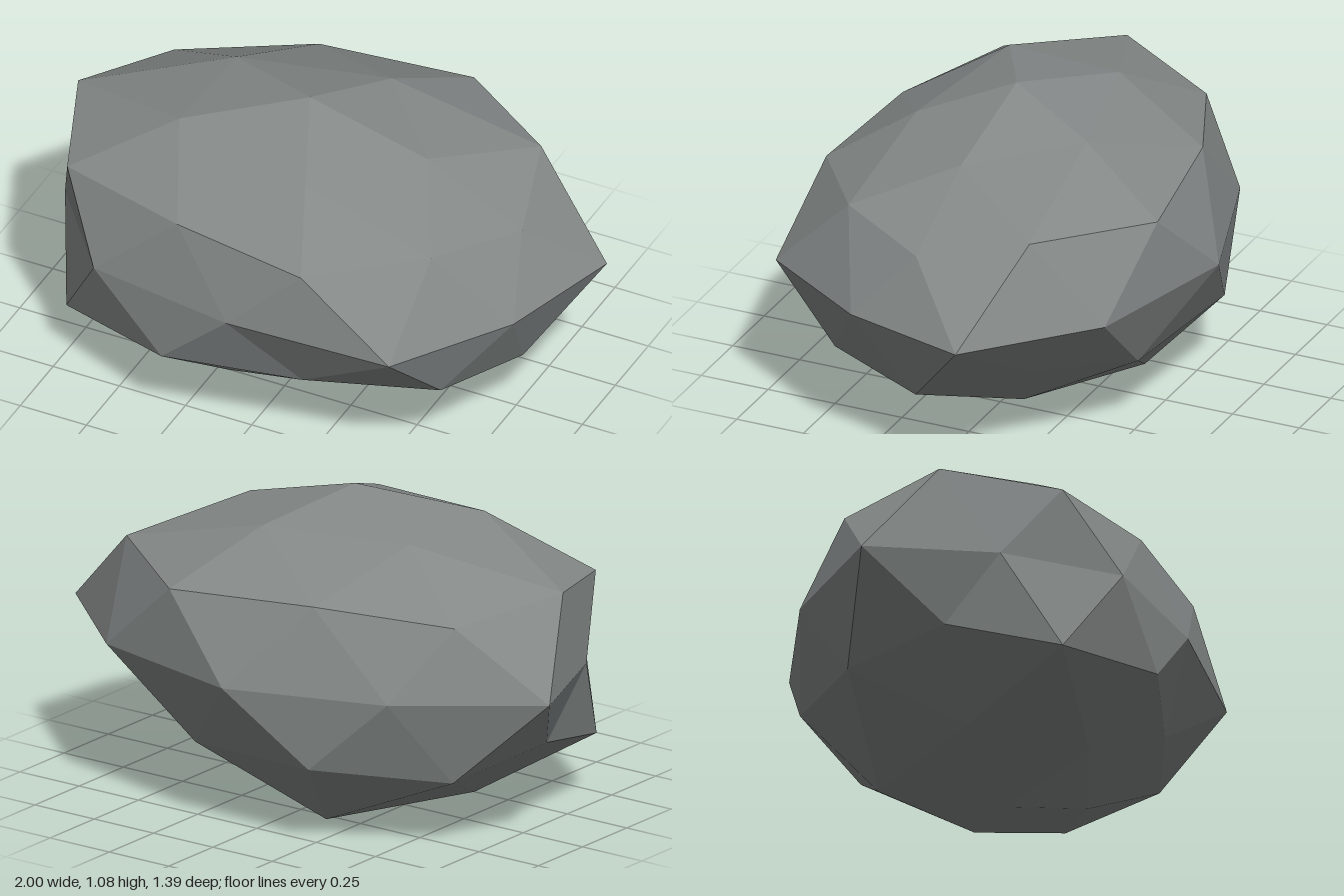
import * as THREE from 'three';

// Ring of points: [height, spread] of the unit direction alternates around the ring
function addRing(points, radii, startDeg, bands) {
  const first = points.length;
  radii.forEach((r, i) => {
    const height = bands[i % bands.length];
    const spread = Math.sqrt(1 - height * height);
    const a = THREE.MathUtils.degToRad(startDeg + (360 / radii.length) * i);
    points.push(new THREE.Vector3(spread * Math.cos(a), height, spread * Math.sin(a)).multiplyScalar(r));
  });
  const n = radii.length;
  return (i) => first + ((i % n) + n) % n;
}

function rockGeometry() {
  const points = [];
  const S = 0.4472, M = 0.5257, P = 0.8507;

  // Uneven distances from the centre, ring by ring from top to bottom
  const top = addRing(points, [0.913], 0, [1]);
  const capU = addRing(points, [0.84, 0.84, 0.915, 0.893, 0.89], 0, [P]);
  const ringU = addRing(points, [0.895, 0.905, 0.935, 0.895, 1.0, 1.03, 0.97, 0.96, 1.05, 1.0], 0, [S, M]);
  const waist = addRing(points, [0.917, 1.027, 0.86, 0.923, 0.869, 1.05, 0.952, 1.018, 1.014, 1.052], 18, [0]);
  const ringL = addRing(points, [0.945, 0.93, 0.835, 0.953, 1.055, 0.903, 1.0, 1.02, 0.95, 0.84], 0, [-M, -S]);
  const capL = addRing(points, [0.85, 0.895, 0.955, 1.07, 0.91], 36, [-P]);
  const bottom = addRing(points, [0.953], 0, [-1]);

  // Facets, each turned to face outwards
  const index = [];
  const face = (a, b, c) => {
    const [A, B, C] = [a, b, c].map((i) => points[i]);
    const outward = B.clone().sub(A).cross(C.clone().sub(A)).dot(A) > 0;
    index.push(a, ...(outward ? [b, c] : [c, b]));
  };
  const cap = (pole, inner, outer, shift) => {
    for (let i = 0; i < 5; i++) {
      const k = 2 * i + shift;
      face(pole(0), inner(i), inner(i + 1));
      face(inner(i), outer(k), outer(k + 1));
      face(inner(i), inner(i + 1), outer(k + 1));
      face(inner(i + 1), outer(k + 1), outer(k + 2));
    }
  };
  cap(top, capU, ringU, 0);
  cap(bottom, capL, ringL, 1);
  for (const ring of [ringU, ringL]) {
    for (let k = 0; k < 10; k++) {
      face(ring(k), ring(k + 1), waist(k));
      face(ring(k), waist(k - 1), waist(k));
    }
  }

  const indexed = new THREE.BufferGeometry().setFromPoints(points);
  indexed.setIndex(index);
  const geometry = indexed.toNonIndexed();
  geometry.scale(1, 0.58, 0.742);
  geometry.translate(0, 0.553, 0.056);
  geometry.computeVertexNormals();
  return geometry;
}

export function createModel() {
  const stone = new THREE.MeshStandardMaterial({ color: 0x848988, flatShading: true });
  stone.name = 'stone grey';

  const rock = new THREE.Mesh(rockGeometry(), stone);
  rock.name = 'rock';

  const model = new THREE.Group();
  model.name = 'boulder';
  model.add(rock);
  return model;
}
